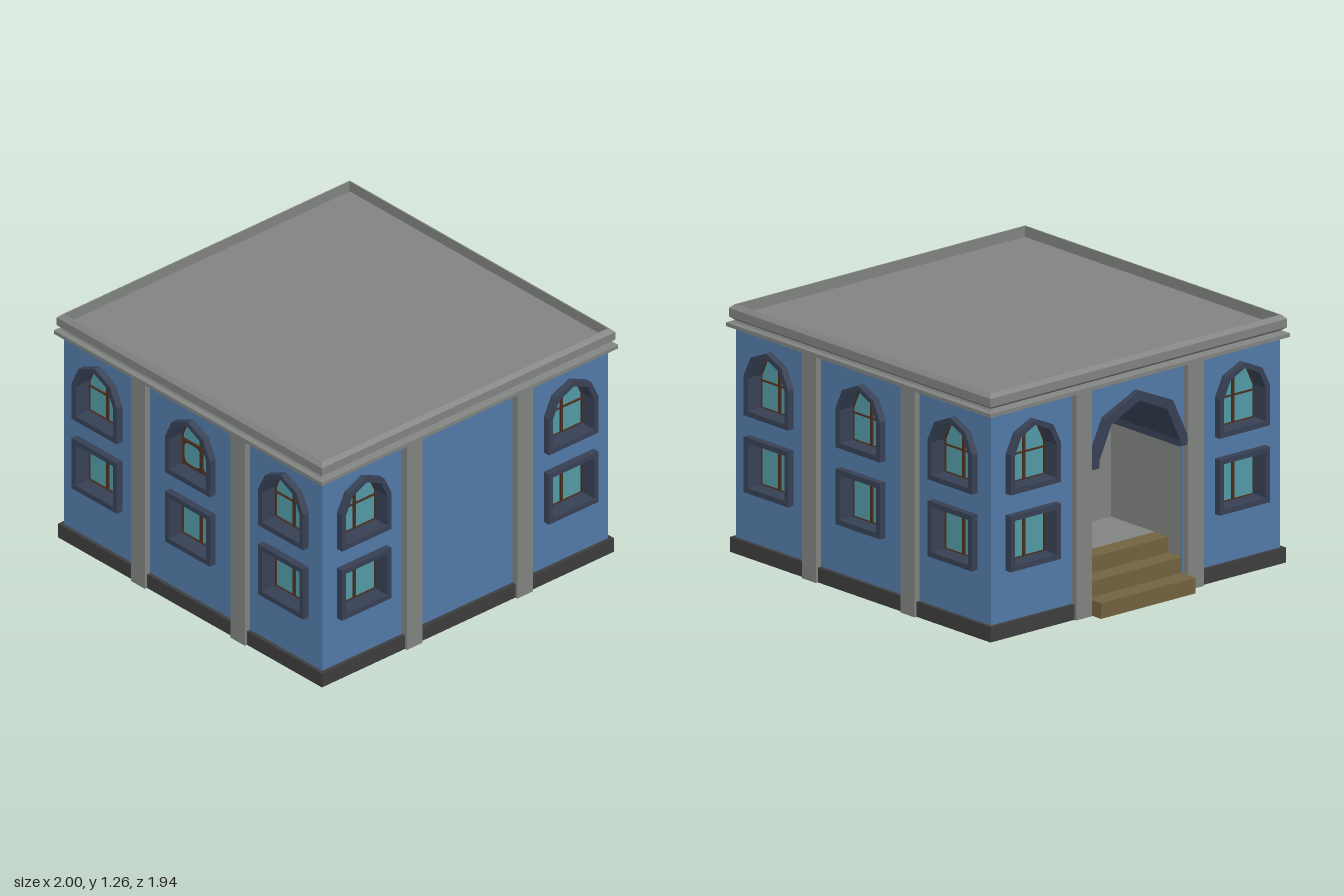
import * as THREE from 'three';

const mat = (name, color) => {
  const m = new THREE.MeshStandardMaterial({ color, flatShading: true, side: THREE.DoubleSide });
  m.name = name;
  return m;
};

const HALF = 0.9325;   // half the wall length
const TOP = 1.148;     // wall height
const CX = 0.0275;     // building centre; the steps stick out at -x

export function createModel() {
  const M = {
    wall: mat('blueWall', 0x527aa7),
    stone: mat('greyStone', 0x80837f),
    trim: mat('navyTrim', 0x364054),
    glass: mat('tealGlass', 0x529aa5),
    wood: mat('brownWood', 0x4a2e1e),
    step: mat('tanSteps', 0x72623f),
    base: mat('darkBase', 0x3d3d3d),
  };

  const add = (parent, name, geo, material) => {
    const mesh = new THREE.Mesh(geo, material);
    mesh.name = name;
    parent.add(mesh);
    return mesh;
  };
  // box given by its extents on each axis
  const box = (parent, name, material, x0, x1, y0, y1, z0, z1) => {
    const mesh = add(parent, name, new THREE.BoxGeometry(x1 - x0, y1 - y0, z1 - z0), material);
    mesh.position.set((x0 + x1) / 2, (y0 + y1) / 2, (z0 + z1) / 2);
  };
  const vecs = pts => pts.map(([x, y]) => new THREE.Vector2(x, y));
  const shape = (pts, holes = []) => {
    const s = new THREE.Shape(vecs(pts));
    holes.forEach(h => s.holes.push(new THREE.Path(vecs(h))));
    return s;
  };
  const slab = (parent, name, material, s, z0, z1) => {
    const geo = new THREE.ExtrudeGeometry(s, { depth: z1 - z0, bevelEnabled: false });
    add(parent, name, geo.translate(0, 0, z0), material);
  };

  // outlines, inset by d
  const rectPts = (cx, w, y0, y1, d = 0) => [
    [cx - w + d, y0 + d], [cx + w - d, y0 + d], [cx + w - d, y1 - d], [cx - w + d, y1 - d]];
  const archPts = (cx, w, y0, ys, ym, yt, d = 0) => [
    [cx - w + d, y0 + d], [cx + w - d, y0 + d], [cx + w - d, ys - d * 0.3],
    [cx + w * 0.7 - d * 0.75, ym - d * 0.75], [cx, yt - d],
    [cx - w * 0.7 + d * 0.75, ym - d * 0.75], [cx - w + d, ys - d * 0.3]];
  const upper = (cx, d) => archPts(cx, 0.162, 0.727, 0.93, 1.03, 1.08, d);
  const lower = (cx, d) => rectPts(cx, 0.162, 0.336, 0.619, d);

  // one window: raised trim, thin deep reveal, wooden sash, glass
  function addWindow(parent, name, outline, cx) {
    const g = new THREE.Group();
    g.name = name;
    parent.add(g);
    slab(g, 'windowTrim', M.trim, shape(outline(cx, 0), [outline(cx, 0.027)]), -0.005, 0.037);
    slab(g, 'windowReveal', M.trim, shape(outline(cx, 0.024), [outline(cx, 0.027)]), -0.066, -0.005);
    slab(g, 'windowSash', M.wood, shape(outline(cx, 0.027), [outline(cx, 0.031)]), -0.064, -0.05);
    add(g, 'windowGlass', new THREE.ShapeGeometry(shape(outline(cx, 0.026))), M.glass)
      .position.z = -0.058;
    const arched = outline === upper;
    box(g, 'mullion', M.wood, cx - 0.007, cx + 0.007,
      arched ? 0.757 : 0.365, arched ? 1.05 : 0.59, -0.064, -0.048);
    if (arched) box(g, 'crossbar', M.wood, cx - 0.135, cx + 0.135, 0.891, 0.898, -0.064, -0.048);
  }

  // lower sash with two rounded panes, nearly flush with the glass
  function paneledSash(parent) {
    const pane = cx => Array.from({ length: 20 }, (_, i) => {
      const a = (i / 20) * Math.PI * 2;
      const soft = v => Math.sign(v) * Math.sqrt(Math.abs(v));
      return [cx + 0.058 * soft(Math.cos(a)), 0.823 + 0.058 * soft(Math.sin(a))];
    });
    slab(parent, 'paneledSash', M.wood,
      shape(rectPts(0, 0.135, 0.755, 0.9), [pane(-0.068), pane(0.068)]), -0.059, -0.055);
  }

  const doorArch = (y0, d) => archPts(0, 0.31, y0, 0.79, 0.985, 1.08, d);

  // recessed entrance with vault, steps and double door
  function entrance(parent) {
    const g = new THREE.Group();
    g.name = 'entrance';
    parent.add(g);
    const outer = doorArch(0.74, 0);
    const inner = doorArch(0.69, 0.05);
    // open band running from the right foot over the top to the left foot
    const band = [...outer.slice(1), outer[0], inner[0], ...inner.slice(1).reverse()];
    slab(g, 'archVault', M.trim, shape(band), -0.525, 0.03);
    for (const s of [-1, 1])
      box(g, 'porchSide', M.stone, s * 0.309 - 0.003, s * 0.309 + 0.003, 0, 0.8, -0.525, -0.005);
    box(g, 'porchFloor', M.stone, -0.306, 0.306, 0.23, 0.24, -0.525, -0.205);
    for (let i = 0; i < 3; i++)
      box(g, 'step', M.step, -0.305, 0.305, i * 0.08, (i + 1) * 0.08,
        -0.005 - i * 0.1, 0.095 - i * 0.1);
    // door leaves with slim panes on both faces
    slab(g, 'door', M.stone, shape(doorArch(0.24, 0)), -0.535, -0.525);
    for (const s of [-1, 1]) {
      for (const [y0, y1] of [[0.29, 0.62], [0.68, 0.9]]) {
        box(g, 'doorPaneFrame', M.wood, s * 0.11 - 0.037, s * 0.11 + 0.037, y0 - 0.007, y1 + 0.007, -0.537, -0.523);
        box(g, 'doorPane', M.glass, s * 0.11 - 0.03, s * 0.11 + 0.03, y0, y1, -0.539, -0.521);
      }
    }
    box(g, 'doorSeam', M.wood, -0.005, 0.005, 0.24, 1.04, -0.537, -0.523);
  }

  // pilaster as a channel, open towards the inside
  function pilaster(parent, x) {
    const g = new THREE.Group();
    g.name = 'pilaster';
    parent.add(g);
    box(g, 'pilasterFace', M.stone, x - 0.051, x + 0.051, 0, TOP, 0.029, 0.034);
    for (const s of [-1, 1])
      box(g, 'pilasterSide', M.stone, x + s * 0.049 - 0.002, x + s * 0.049 + 0.002, 0, TOP, -0.008, 0.029);
  }

  // one side of the building; z = 0 is the wall surface
  function facade(name, windowXs, hasDoor) {
    const g = new THREE.Group();
    g.name = name;
    for (const [a, b] of [[-HALF, -0.41], [-0.31, 0.31], [0.41, HALF]]) {
      const doorBay = hasDoor && a === -0.31;
      const outline = doorBay
        ? [[a, 0], [-0.3, 0], ...doorArch(0, 0.01).slice(2).reverse(), [0.3, 0], [b, 0], [b, TOP], [a, TOP]]
        : [[a, 0], [b, 0], [b, TOP], [a, TOP]];
      const xs = windowXs.filter(x => x > a && x < b);
      const holes = xs.flatMap(x => [upper(x, 0.024), lower(x, 0.024)]);
      slab(g, 'wall', M.wall, shape(outline, holes), -0.006, 0);
      for (const x of xs) {
        addWindow(g, 'archedWindow', upper, x);
        addWindow(g, 'squareWindow', lower, x);
      }
      // baseboards wrap the corners
      const wrap = x => x + (Math.abs(x) === HALF ? Math.sign(x) * 0.02 : 0);
      if (!doorBay) box(g, 'baseboard', M.base, wrap(a), wrap(b), 0, 0.077, -0.003, 0.02);
    }
    for (const s of [-1, 1]) pilaster(g, s * 0.36);
    if (hasDoor) entrance(g);
    return g;
  }

  const root = new THREE.Group();
  root.name = 'building';
  const sides = [
    ['frontSide', [-0.6725, 0, 0.6725], false],
    ['rightSide', [-0.675, 0.675], false],
    ['backSide', [-0.6725, 0, 0.6725], false],
    ['entranceSide', [-0.675, 0.675], true],
  ];
  sides.forEach(([name, xs, door], i) => {
    const f = facade(name, xs, door);
    const a = i * Math.PI / 2;
    f.rotation.y = a;
    f.position.set(CX + Math.sin(a) * HALF, 0, Math.cos(a) * HALF);
    if (name === 'frontSide') paneledSash(f);
    root.add(f);
  });

  // ceiling, cornice, parapet and sunken flat roof as one square profile
  const profile = [[0, TOP], [0.967, TOP], [0.967, 1.167], [0.94, 1.17], [0.935, 1.18],
    [0.957, 1.197], [0.957, 1.24], [0.937, 1.26], [0.93, 1.26], [0.93, 1.205], [0, 1.205]]
    .map(([r, y]) => new THREE.Vector2(r * Math.SQRT2, y));
  add(root, 'roof', new THREE.LatheGeometry(profile, 4, Math.PI / 4), M.stone).position.x = CX;

  return root;
}
